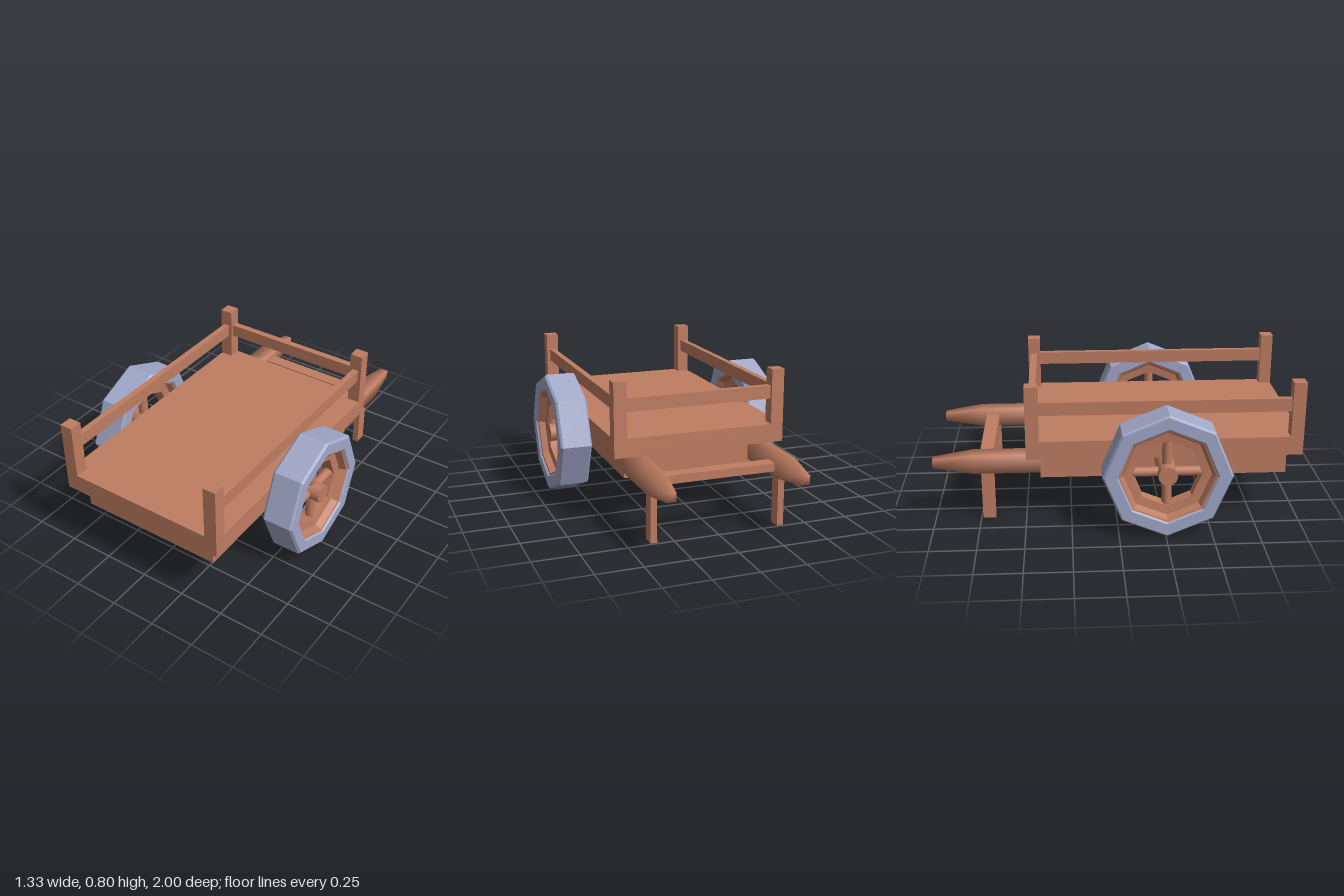
import * as THREE from 'three';
import { mergeVertices, toCreasedNormals } from 'three/addons/utils/BufferGeometryUtils.js';

export function createModel() {
  const cart = new THREE.Group();
  cart.name = 'handCart';
  const wood = new THREE.MeshStandardMaterial({ color: 0xbf7d62 });
  wood.name = 'wood';
  const tyreGrey = new THREE.MeshStandardMaterial({ color: 0xa2a9ca });
  tyreGrey.name = 'tyreGrey';

  const add = (parent, name, geometry, material = wood) => {
    const mesh = new THREE.Mesh(geometry, material);
    mesh.name = name;
    parent.add(mesh);
    return mesh;
  };
  // Box given by its limits on each axis
  const box = (name, x0, x1, y0, y1, z0, z1) =>
    add(cart, name, new THREE.BoxGeometry(x1 - x0, y1 - y0, z1 - z0))
      .position.set((x0 + x1) / 2, (y0 + y1) / 2, (z0 + z1) / 2);
  const mirrored = (name, x0, x1, ...rest) => {
    box(name + 'Left', x0, x1, ...rest);
    box(name + 'Right', -x1, -x0, ...rest);
  };

  // Bed, with the narrower chassis below it
  box('bed', -0.485, 0.485, 0.392, 0.495, -0.49, 1);
  box('chassis', -0.41, 0.41, 0.257, 0.392, -0.417, 0.93);

  // Corner posts and rails; the front end is open
  mirrored('frontPost', 0.413, 0.485, 0.495, 0.8, 0.93, 1);
  mirrored('rearPost', 0.413, 0.485, 0.495, 0.8, -0.49, -0.42);
  mirrored('sideRail', 0.432, 0.466, 0.635, 0.707, -0.42, 0.93);
  box('rearRail', -0.413, 0.413, 0.635, 0.707, -0.475, -0.437);

  // Legs and the bar between the handles
  mirrored('leg', 0.34, 0.376, 0.003, 0.31, -0.74, -0.67);
  box('crossbar', -0.32, 0.32, 0.315, 0.36, -0.75, -0.675);

  // Handles: square bars with a tapered grip and softened edges
  for (const side of [1, -1]) {
    let g = new THREE.BoxGeometry(0.1, 0.104, 0.585, 1, 1, 2);
    const p = g.attributes.position;
    for (let i = 0; i < p.count; i++) {
      const z = p.getZ(i);
      if (Math.abs(z) < 0.01) p.setZ(i, -0.075);
      else if (z < 0) p.setXY(i, p.getX(i) * 0.5, p.getY(i) * 0.46);
    }
    g.deleteAttribute('normal');
    g.deleteAttribute('uv');
    g = mergeVertices(g);
    g.computeVertexNormals();
    add(cart, side > 0 ? 'handleLeft' : 'handleRight', g)
      .position.set(side * 0.36, 0.338, -0.7075);
  }

  // Eight-sided ring turned from a closed profile of [radius, offset] points
  const ring = (points) => toCreasedNormals(new THREE.LatheGeometry(
    points.map(([r, y]) => new THREE.Vector2(r, y)), 8), 0.4);
  const tyre = ring([[0.27, -0.089], [0.334, -0.089], [0.345, -0.077], [0.345, 0.077],
    [0.334, 0.089], [0.27, 0.089], [0.262, 0.08], [0.262, -0.08], [0.27, -0.089]]);
  const rim = ring([[0.185, -0.035], [0.235, -0.04], [0.252, -0.075], [0.272, -0.082],
    [0.272, 0.082], [0.252, 0.075], [0.235, 0.04], [0.185, 0.035], [0.185, -0.035]]);

  for (const side of [1, -1]) {
    const wheel = new THREE.Group();
    wheel.name = side > 0 ? 'wheelLeft' : 'wheelRight';
    add(wheel, 'tyre', tyre, tyreGrey);
    add(wheel, 'rim', rim);
    // Hub and axle stub, running in to the chassis
    add(wheel, 'hub', new THREE.CylinderGeometry(0.052, 0.052, 0.25, 12)).position.y = -0.05;
    for (let i = 0; i < 2; i++) {
      const spoke = add(wheel, 'spokePair', new THREE.CylinderGeometry(0.027, 0.027, 0.39, 8));
      if (i) spoke.rotation.z = Math.PI / 2;
      else spoke.rotation.x = Math.PI / 2;
    }
    wheel.rotation.z = -side * Math.PI / 2;
    wheel.position.set(side * 0.576, 0.352, 0.255);
    cart.add(wheel);
  }
  return cart;
}
